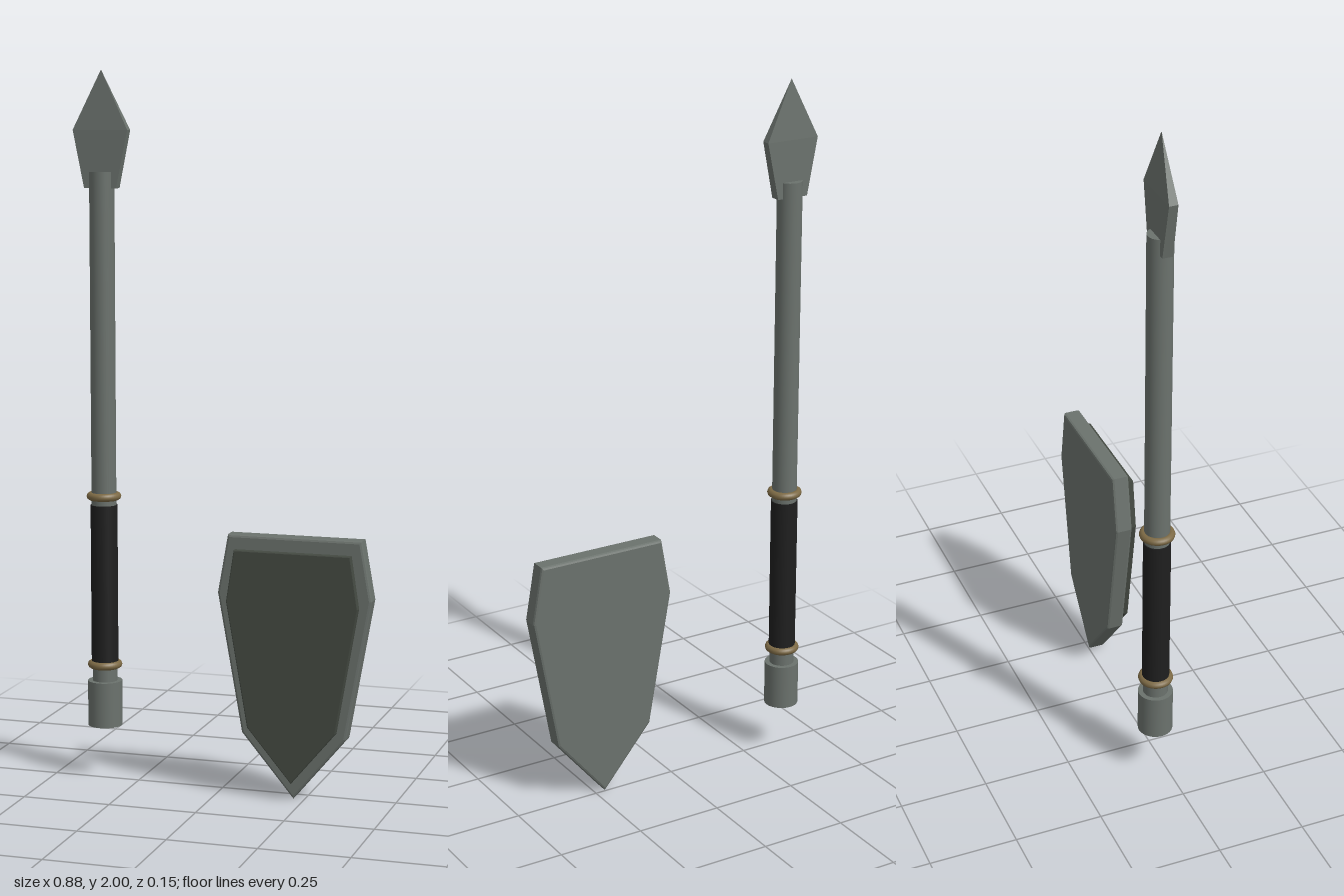
import * as THREE from 'three';

const flat = (name, color) => {
  const m = new THREE.MeshStandardMaterial({ color });
  m.name = name;
  return m;
};

export function createModel() {
  const steel = flat('steel', 0x6b726d);
  const darkSteel = flat('dark steel', 0x444a42);
  const leather = flat('black leather', 0x1f1f1f);
  const brass = flat('brass', 0x7d6a45);

  const model = new THREE.Group();
  const add = (parent, name, geometry, material, y = 0) => {
    const mesh = new THREE.Mesh(geometry, material);
    mesh.name = name;
    mesh.position.y = y;
    parent.add(mesh);
    return mesh;
  };

  // Spear, standing upright
  const spear = new THREE.Group();
  spear.name = 'spear';
  spear.position.set(-0.36, 0, -0.028);
  model.add(spear);

  const rod = (name, radius, bottom, top, material) =>
    add(spear, name, new THREE.CylinderGeometry(radius, radius, top - bottom, 32), material, (top + bottom) / 2);
  rod('shaft', 0.035, 0.2, 1.72, steel);
  rod('grip', 0.038, 0.335, 0.785, leather);
  rod('pommel', 0.049, 0.148, 0.278, steel);

  for (const [name, y] of [['lowerRing', 0.325], ['upperRing', 0.81]]) {
    const ring = add(spear, name, new THREE.TorusGeometry(0.038, 0.011, 10, 40), brass, y);
    ring.rotation.x = Math.PI / 2;
  }

  // Spearhead: rectangular sections from the base, through the widest point, to the tip
  const sections = [[1.675, 0.047, 0.0145], [1.835, 0.08, 0.0125], [2.0, 0, 0]];
  const loops = sections.map(([y, w, d]) => [[-w, y, d], [w, y, d], [w, y, -d], [-w, y, -d]]);
  const points = [];
  const quad = (a, b, c, d) => points.push(...a, ...b, ...c, ...a, ...c, ...d);
  const [base, wide, tip] = loops;
  for (let i = 0; i < 4; i++) {
    const j = (i + 1) % 4;
    quad(base[i], base[j], wide[j], wide[i]);
    points.push(...wide[i], ...wide[j], ...tip[0]);
  }
  quad(base[3], base[2], base[1], base[0]);
  const head = new THREE.BufferGeometry();
  head.setAttribute('position', new THREE.Float32BufferAttribute(points, 3));
  head.computeVertexNormals();
  add(spear, 'spearhead', head, steel);

  // Shield: a bevelled body with a smaller plate in front
  const shield = new THREE.Group();
  shield.name = 'shield';
  shield.position.x = 0.219;
  model.add(shield);

  // The outline lists the right half from top to point, and is mirrored
  const slab = (name, half, point, zBack, depth, bevel, material) => {
    const outline = [
      ...half.map(([x, y]) => new THREE.Vector2(-x, y)),
      new THREE.Vector2(0, point),
      ...half.slice().reverse().map(([x, y]) => new THREE.Vector2(x, y)),
    ];
    const geometry = new THREE.ExtrudeGeometry(new THREE.Shape(outline), {
      depth: depth - 2 * bevel, bevelEnabled: true, bevelThickness: bevel,
      bevelSize: bevel, bevelOffset: -bevel, bevelSegments: 2,
    });
    geometry.translate(0, 0, zBack + bevel);
    add(shield, name, geometry, material);
  };
  slab('shieldBody', [[0.19, 0.735], [0.219, 0.57], [0.149, 0.178]], 0.0, 0, 0.051, 0.007, steel);
  slab('shieldFacePlate', [[0.165, 0.697], [0.187, 0.552], [0.126, 0.2]], 0.05, 0.057, 0.019, 0.003, darkSteel);

  return model;
}
